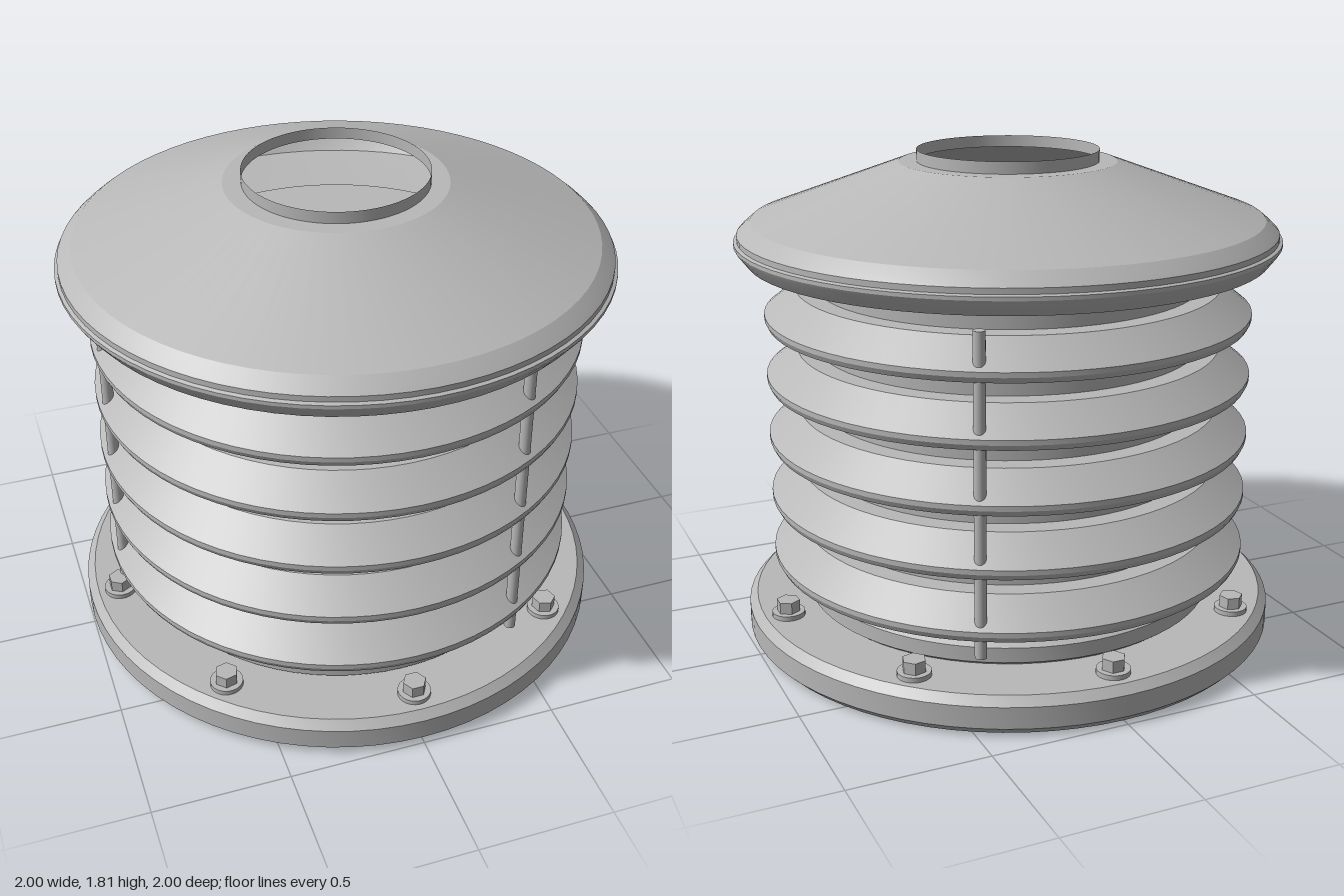
import * as THREE from 'three';
import { toCreasedNormals } from 'three/addons/utils/BufferGeometryUtils.js';

export function createModel() {
  const group = new THREE.Group();
  // Double-sided because the cap is an open, hollow shell
  const grey = new THREE.MeshStandardMaterial({ color: 0xb8b8b8, side: THREE.DoubleSide });
  grey.name = 'grey metal';

  const add = (name, geometry, x = 0, y = 0, z = 0, parent = group) => {
    const mesh = new THREE.Mesh(geometry, grey);
    mesh.name = name;
    mesh.position.set(x, y, z);
    parent.add(mesh);
    return mesh;
  };
  // Turned part from [radius, height] pairs listed bottom to top, with sharp profile edges
  const turned = (points) => toCreasedNormals(
    new THREE.LatheGeometry(points.map(([r, y]) => new THREE.Vector2(r, y)), 72), 0.2);

  // Base flange and collar
  add('baseFlange', turned([[0, 0], [0.97, 0], [1, 0.03], [1, 0.11], [0.97, 0.14], [0, 0.14]]));
  add('collar', turned([[0.75, 0.14], [0.77, 0.155], [0.77, 0.21], [0.745, 0.225],
    [0.745, 0.235], [0.7, 0.235]]));

  // Drum, closed at the top
  add('drum', turned([[0.708, 0.14], [0.708, 1.395], [0, 1.395]]));

  // Louvre rings
  const louvre = turned([[0.7, 0], [0.708, 0], [0.885, 0.03], [0.895, 0.05], [0.895, 0.068],
    [0.78, 0.158], [0.7, 0.158]]);
  for (let i = 0; i < 5; i++) add('louvre', louvre, 0, 0.26 + i * 0.226, 0);

  // Three tie rods through the louvres
  const rod = new THREE.CylinderGeometry(0.021, 0.021, 1.14, 20);
  for (let i = 0; i < 3; i++) {
    const a = Math.PI + i * Math.PI * 2 / 3;
    add('tieRod', rod, 0.86 * Math.cos(a), 0.79, 0.86 * Math.sin(a));
  }

  // Hollow conical cap with its rolled rim
  add('cap', turned([[0.7, 1.39], [0.708, 1.39], [0.95, 1.43], [0.985, 1.475], [0.992, 1.487],
    [0.992, 1.5], [0.98, 1.505], [0.98, 1.525], [0.965, 1.54], [0.93, 1.57],
    [0.395, 1.767], [0.33, 1.767]]));
  add('capOpening', new THREE.CylinderGeometry(0.33, 0.33, 0.043, 72, 1, true), 0, 1.7885, 0);

  // Eight flange bolts with washers
  const washer = new THREE.CylinderGeometry(0.06, 0.06, 0.018, 28);
  const head = new THREE.CylinderGeometry(0.043, 0.043, 0.045, 6).toNonIndexed();
  head.computeVertexNormals();
  for (let i = 0; i < 8; i++) {
    const a = i * Math.PI / 4;
    const bolt = new THREE.Group();
    bolt.name = 'bolt';
    bolt.position.set(0.886 * Math.cos(a), 0.14, 0.886 * Math.sin(a));
    bolt.rotation.y = -a;
    add('washer', washer, 0, 0.009, 0, bolt);
    add('boltHead', head, 0, 0.0385, 0, bolt);
    group.add(bolt);
  }
  return group;
}
